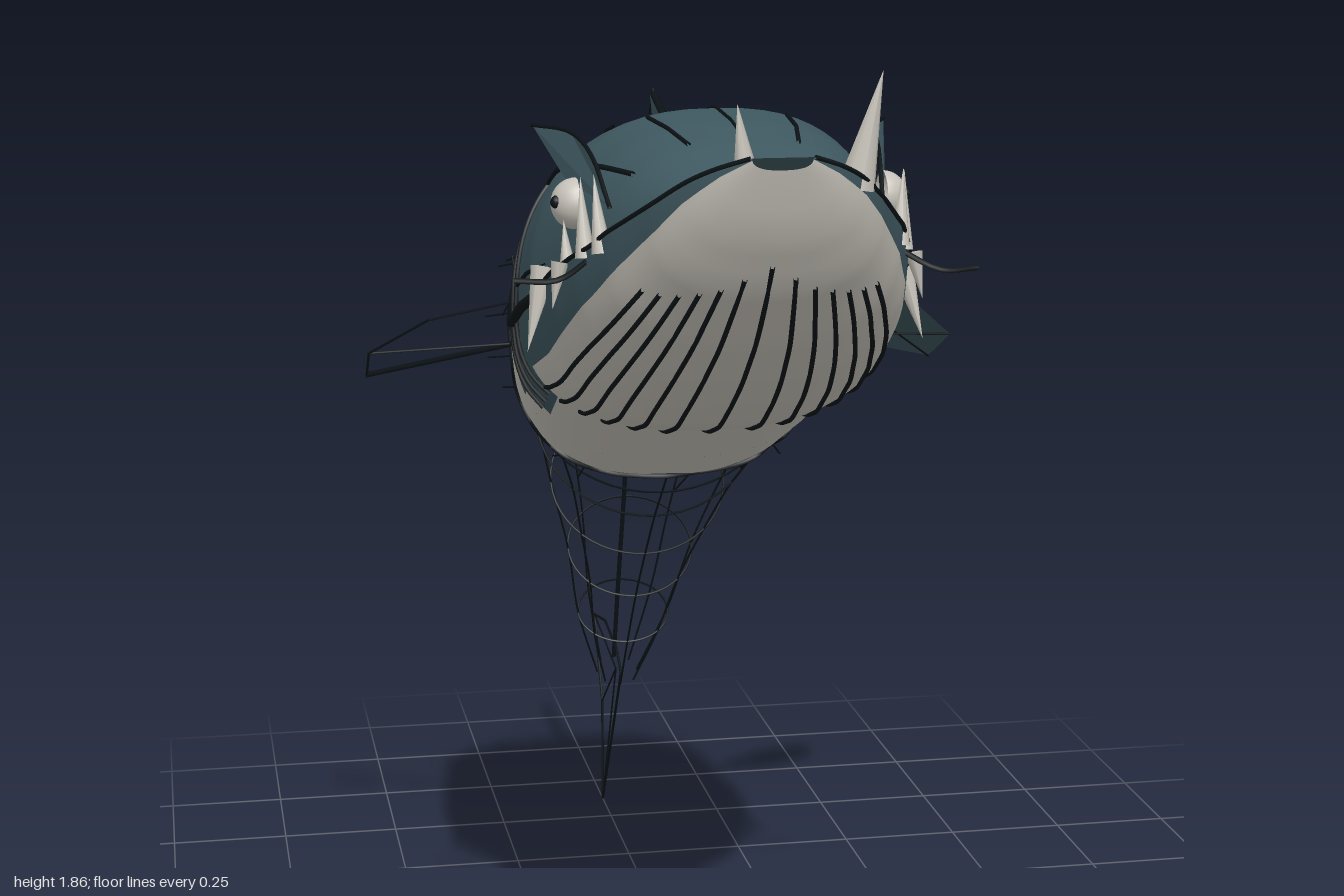
import * as THREE from 'three';
import { mergeGeometries } from 'three/addons/utils/BufferGeometryUtils.js';

const V = (x, y, z) => new THREE.Vector3(x, y, z);
const mat = (name, color) => {
  const m = new THREE.MeshStandardMaterial({ color, side: THREE.DoubleSide });
  m.name = name;
  return m;
};

// Profiles along the body as [z, value]
const TOP = [[-0.02, 1.55], [0.1, 1.635], [0.2, 1.7], [0.3, 1.74], [0.45, 1.765], [0.6, 1.755], [0.7, 1.735], [0.8, 1.695], [0.87, 1.65]];
const MOUTH = [[-0.02, 1.3], [0.1, 1.33], [0.3, 1.39], [0.5, 1.46], [0.75, 1.57], [0.9, 1.66], [1, 1.74]];
const BOTTOM = [[-0.02, 0.99], [0.1, 1.05], [0.3, 1.16], [0.4, 1.17], [0.5, 1.2], [0.6, 1.255], [0.7, 1.32], [0.8, 1.4], [0.9, 1.51], [0.97, 1.62], [1, 1.72]];
const JAW_W = [[-0.02, 0.31], [0.2, 0.33], [0.4, 0.335], [0.6, 0.315], [0.7, 0.29], [0.8, 0.25], [0.9, 0.19], [0.95, 0.145], [0.985, 0.09], [1, 0.05]];
const HEAD_W = [[-0.02, 0.31], [0.2, 0.33], [0.4, 0.33], [0.6, 0.28], [0.7, 0.235], [0.8, 0.17], [0.85, 0.12], [0.87, 0.08]];
// Depth of the dark lip as an angle, left and right
const LIP_L = [[0.1, 0.42], [0.17, 0.42], [0.18, 0.72], [0.3, 0.72], [0.32, 0.34], [0.6, 0.22], [0.9, 0.12], [1, 0.1]];
const LIP_R = [[0.1, 0.42], [0.17, 0.42], [0.18, 0.72], [0.3, 0.72], [0.32, 0.38], [0.6, 0.34], [0.9, 0.2], [1, 0.1]];

function at(table, z) {
  if (z <= table[0][0]) return table[0][1];
  for (let i = 1; i < table.length; i++) {
    const [z0, v0] = table[i - 1], [z1, v1] = table[i];
    if (z <= z1) return v0 + (v1 - v0) * (z - z0) / (z1 - z0);
  }
  return table[table.length - 1][1];
}

// Point on the hull: angle 0 is the left mouth line, PI/2 the back, -PI/2 the belly
function hull(z, a, lift = 0) {
  const c = Math.cos(a), s = Math.sin(a), m = at(MOUTH, z), upper = a >= 0;
  const x = at(upper ? HEAD_W : JAW_W, z) * Math.sign(c) * Math.abs(c) ** 0.8;
  const h = upper ? at(TOP, z) - m : m - at(BOTTOM, z);
  const y = h * Math.sign(s) * Math.abs(s) ** (upper ? 0.85 : 0.75);
  const r = 1 + lift / Math.hypot(x, y);
  return V(x * r, m + y * r, z);
}

// Grid surface from a function of u, v in 0..1
function sheet(fn, nu, nv) {
  const pos = [], idx = [];
  for (let i = 0; i <= nu; i++) for (let j = 0; j <= nv; j++) {
    pos.push(...fn(i / nu, j / nv).toArray());
    if (i < nu && j < nv) {
      const a = i * (nv + 1) + j, b = a + nv + 1;
      idx.push(a, b, a + 1, b, b + 1, a + 1);
    }
  }
  const g = new THREE.BufferGeometry();
  g.setAttribute('position', new THREE.Float32BufferAttribute(pos, 3));
  g.setIndex(idx);
  g.computeVertexNormals();
  return g;
}
const hullPatch = (z0, z1, a0, a1, nz, na) => sheet((u, v) => {
  const z = z0 + (z1 - z0) * u;
  return hull(z, a0(z) + (a1(z) - a0(z)) * v);
}, nz, na);

// Flat fan through a few corners
function fan(points) {
  const g = new THREE.BufferGeometry().setFromPoints(
    points.slice(2).flatMap((p, i) => [points[0], points[i + 1], p]));
  g.computeVertexNormals();
  return g;
}

const wire = (pts, r = 0.0025, closed = false) => new THREE.TubeGeometry(
  new THREE.CatmullRomCurve3(pts, closed, 'centripetal'), pts.length < 3 ? 1 : pts.length * 3, r, 5, closed);
const polyline = (pts, r) => pts.slice(1).map((p, i) => wire([pts[i], p], r));
const along = (z0, z1, a, r, n = 10) => wire(Array.from({ length: n + 1 }, (_, i) => hull(z0 + (z1 - z0) * i / n, a, r * 0.7)), r);

export function createModel() {
  const group = new THREE.Group();
  const teal = mat('teal skin', 0x3e575f), bone = mat('pale belly', 0xc6c2b9);
  const black = mat('black line', 0x0c1316), red = mat('mouth red', 0x8f3a2f);
  const add = (name, geo, m) => {
    const mesh = new THREE.Mesh(Array.isArray(geo) ? mergeGeometries(geo) : geo, m);
    mesh.name = name;
    group.add(mesh);
    return mesh;
  };
  const PI = Math.PI, k = (v) => () => v;

  // Hollow head, jaw and collar
  const lipL = (z) => -at(LIP_L, z), lipR = (z) => at(LIP_R, z) - PI;
  add('upperHead', hullPatch(0.09, 0.87, k(0), k(PI), 32, 32), teal);
  add('collarTop', hullPatch(-0.02, 0.09, k(0), k(PI), 4, 32), bone);
  add('collarBottom', hullPatch(-0.02, 0.1, k(-PI), k(-1e-6), 4, 32), bone);
  add('belly', hullPatch(0.1, 1, lipR, lipL, 45, 32), bone);
  add('lipLeft', hullPatch(0.1, 1, lipL, k(-1e-6), 45, 5), teal);
  add('lipRight', hullPatch(0.1, 1, k(-PI), lipR, 45, 5), teal);

  // Mouth floor beside the head and the jaw tip in front
  for (const s of [1, -1]) add('mouthFloor', sheet((u, v) => {
    const z = 0.42 + 0.45 * u, inner = at(HEAD_W, z) * 0.97;
    return V(s * (inner + (at(JAW_W, z) - inner) * v), at(MOUTH, z), z);
  }, 16, 1), red);
  add('jawTip', sheet((u, v) => {
    const z = 0.87 + 0.13 * u;
    return V((v * 2 - 1) * at(JAW_W, z), at(MOUTH, z), z);
  }, 10, 4), teal);

  // Throat grooves, back seams, mouth lines and straps
  const grooves = [];
  for (let i = -6; i <= 6; i++)
    grooves.push(along(0.33, 0.93 - 0.015 * Math.abs(i), -PI / 2 + i * 0.165, 0.0045));
  add('throatGrooves', grooves, black);
  const seams = [along(0.09, 0.86, PI / 2, 0.003, 20)];
  for (const s of [1, -1]) {
    const a = (v) => (s > 0 ? v : (v < 0 ? -PI - v : PI - v));
    seams.push(along(0.2, 0.36, a(1.13), 0.004), along(0.47, 0.7, a(1.25), 0.004),
      along(0.15, 0.7, a(0.72), 0.005), along(0.2, 0.55, a(-0.02), 0.01),
      along(0.25, 0.48, a(0.1), 0.004), along(0.56, 1, a(-0.001), 0.004, 20));
    for (const dz of [0, 0.045, 0.1]) seams.push(wire(Array.from({ length: 9 }, (_, i) =>
      hull(0.1 + dz + 0.012 * (8 - i), a(-0.65 + i * 0.2), 0.003)), 0.0045));
  }
  add('skinSeams', seams, black);

  // Eyes, brows and whiskers
  for (const s of [1, -1]) {
    const eye = add('eye', new THREE.SphereGeometry(0.045, 20, 10, 0, PI * 2, 0, PI / 2), bone);
    eye.position.set(s * 0.27, 1.62, 0.59);
    eye.rotation.z = -s * PI / 2;
    const pupil = add('pupil', new THREE.SphereGeometry(0.012, 10, 8), black);
    pupil.position.set(s * 0.306, 1.625, 0.606);
    const brow = [V(s * 0.235, 1.63, 0.73), V(s * 0.25, 1.705, 0.64), V(s * 0.27, 1.735, 0.53),
      V(s * 0.32, 1.735, 0.4), V(s * 0.285, 1.66, 0.55)];
    add('brow', fan(brow), teal);
    add('browEdge', wire(brow.slice(0, 4), 0.004), black);
    add('whisker', wire([V(s * 0.26, 1.55, 0.72), V(s * 0.33, 1.515, 0.76), V(s * 0.4, 1.515, 0.75)], 0.005), black);
  }

  // Teeth as [base x, base y, base z, tip x, tip y, tip z, radius]
  const teeth = [[0.14, 1.68, 0.92, 0.18, 1.87, 0.93, 0.032], [-0.04, 1.68, 0.92, -0.06, 1.82, 0.93, 0.025]];
  for (const s of [1, -1]) teeth.push(
    [s * 0.255, 1.56, 0.77, s * 0.265, 1.69, 0.75, 0.018], [s * 0.275, 1.545, 0.72, s * 0.28, 1.68, 0.7, 0.018],
    [s * 0.295, 1.52, 0.65, s * 0.3, 1.6, 0.64, 0.014], [s * 0.32, 1.5, 0.53, s * 0.355, 1.36, 0.57, 0.024],
    [s * 0.31, 1.53, 0.66, s * 0.325, 1.45, 0.67, 0.016]);
  for (const [x, y, z, tx, ty, tz, r] of teeth) {
    const base = V(x, y, z), dir = V(tx, ty, tz).sub(base), len = dir.length();
    const tooth = add('tooth', new THREE.ConeGeometry(r, len, 8), bone);
    tooth.position.copy(base).addScaledVector(dir, 0.5);
    tooth.quaternion.setFromUnitVectors(V(0, 1, 0), dir.normalize());
  }

  // Solid left fin, and the bare frame of the right one
  const fin = (s) => [V(s * 0.31, 1.375, 0.12), V(s * 0.48, 1.335, 0.08), V(s * 0.585, 1.25, -0.05),
    V(s * 0.58, 1.18, -0.19), V(s * 0.46, 1.215, -0.13), V(s * 0.31, 1.275, 0.03)];
  const L = fin(1), R = fin(-1);
  add('leftFin', fan(L), teal);
  add('leftFinRays', [wire([L[0], L[3]]), wire([L[5], L[2]])], black);
  add('rightFinFrame', [...polyline(R.slice(0, 4), 0.0025), wire([R[3], R[5]], 0.006), wire([R[2], R[5]])], black);

  // Dorsal fin on the back
  const D = [V(0, 1.62, 0.1), V(0, 1.69, -0.03), V(0, 1.73, -0.17), V(0, 1.65, -0.12), V(0, 1.55, -0.01)];
  const dorsal = [0.008, -0.008].map((x) => fan(D.map((p) => V(x, p.y, p.z))));
  add('dorsalFin', dorsal, teal);
  add('dorsalFinEdge', [...polyline([...D, D[0]], 0.008), wire([D[0], D[3]], 0.009)], black);

  // Wire tail: rings as [top z, top y, bottom z, bottom y, half width]
  const rings = [[-0.02, 1.55, -0.02, 0.99, 0.305], [-0.17, 1.44, -0.08, 0.94, 0.28], [-0.31, 1.28, -0.165, 0.87, 0.235],
    [-0.47, 1.04, -0.28, 0.76, 0.185], [-0.55, 0.82, -0.4, 0.635, 0.135], [-0.63, 0.61, -0.51, 0.5, 0.1], [-0.7, 0.41, -0.61, 0.37, 0.045]];
  const ringPoint = ([tz, ty, bz, by, w], a) => {
    const t = (1 + Math.sin(a)) / 2;
    return V(w * Math.cos(a), by + (ty - by) * t, bz + (tz - bz) * t);
  };
  add('tailRings', rings.slice(1, 6).map((r) =>
    wire(Array.from({ length: 16 }, (_, i) => ringPoint(r, i * PI / 8)), 0.0025, true)), black);
  add('tailRibs', Array.from({ length: 8 }, (_, i) =>
    wire(rings.map((r) => ringPoint(r, i * PI / 4)), i === 2 ? 0.005 : 0.0022)), black);

  // Wire sail above the tail
  const spine = new THREE.CatmullRomCurve3(rings.map((r) => ringPoint(r, PI / 2)));
  const crest = new THREE.CatmullRomCurve3([V(0, 1.74, -0.18), V(0, 1.64, -0.25), V(0, 1.5, -0.33), V(0, 1.37, -0.39), V(0, 1.24, -0.44)]);
  const sail = [wire(crest.getPoints(8), 0.002)];
  for (let i = 0; i <= 7; i++) sail.push(wire([spine.getPoint(0.07 + i * 0.045), crest.getPoint(i / 7)], 0.0025));
  add('sailFrame', sail, black);

  // Wire tail fluke
  const fluke = [[-0.6, 0.4], [-0.87, 0.01], [-0.87, 0.25], [-0.98, 0.43], [-0.82, 0.46], [-0.66, 0.44]].map(([z, y]) => V(0, y, z));
  const root = V(0, 0.39, -0.67);
  add('flukeFrame', [...polyline([...fluke, fluke[0]], 0.003), ...[1, 2, 3].map((i) => wire([root, fluke[i]], 0.002))], black);

  // Frayed rim of the opening
  let seed = 7;
  const rnd = () => (seed = (seed * 16807) % 2147483647) / 2147483647;
  const rim = (i) => hull(-0.02, i * PI / 24 - PI);
  const fray = [wire(Array.from({ length: 48 }, (_, i) => rim(i).add(V(0, 0, (rnd() - 0.5) * 0.03))), 0.006, true)];
  for (let i = 0; i < 52; i++) {
    const p = rim((i + rnd()) * 48 / 52);
    const q = p.clone().add(V((rnd() - 0.5) * 0.09, (rnd() - 0.5) * 0.09, -0.03 - rnd() * 0.08));
    fray.push(wire([p, q], 0.002));
  }
  add('frayedRim', fray, black);
  return group;
}
